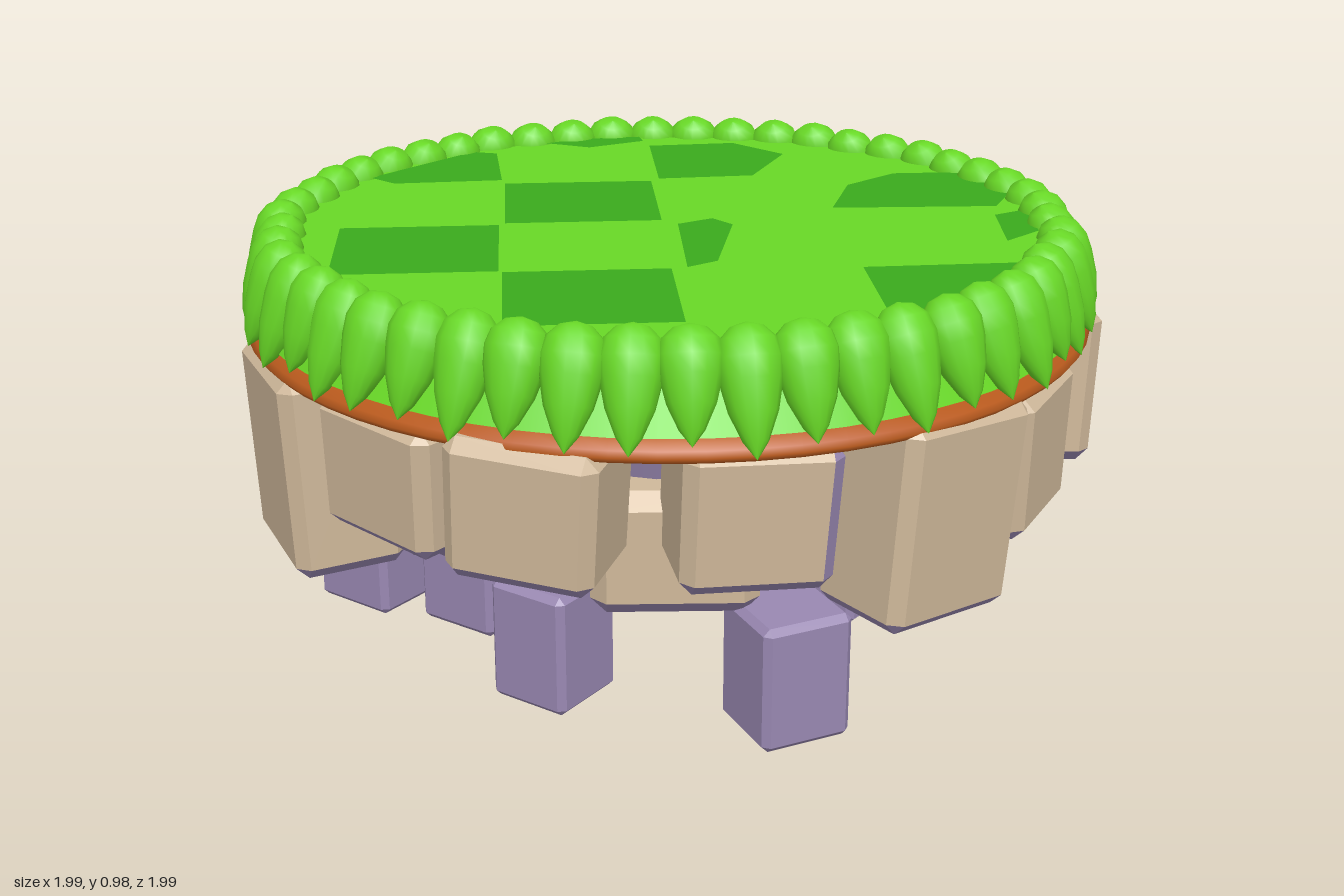
import * as THREE from 'three';
import { ConvexGeometry } from 'three/addons/geometries/ConvexGeometry.js';

const mat = (name, color) => {
  const m = new THREE.MeshStandardMaterial({ color });
  m.name = name;
  return m;
};

// Chamfered block; group 0 is the body, group 1 the underside (and optionally the +x side)
function block(w, h, d, c, taper = 1, paintSide = false) {
  const pts = [];
  for (const x of [-1, 1]) for (const y of [-1, 1]) for (const z of [-1, 1]) {
    for (let full = 0; full < 3; full++) {
      const k = y < 0 ? taper : 1;
      pts.push(new THREE.Vector3(
        x * (w / 2 - (full === 0 ? 0 : c)) * k,
        y * (h / 2 - (full === 1 ? 0 : c)),
        z * (d / 2 - (full === 2 ? 0 : c)) * k));
    }
  }
  const src = new ConvexGeometry(pts);
  const p = src.attributes.position.array, n = src.attributes.normal.array;
  const parts = [[], []];
  for (let i = 0; i < p.length; i += 9) {
    const under = n[i + 1] < -0.25 || (paintSide && n[i] > 0.5);
    parts[under ? 1 : 0].push(...p.slice(i, i + 9));
  }
  const geo = new THREE.BufferGeometry();
  geo.setAttribute('position', new THREE.Float32BufferAttribute([...parts[0], ...parts[1]], 3));
  geo.addGroup(0, parts[0].length / 3, 0);
  geo.addGroup(parts[0].length / 3, parts[1].length / 3, 1);
  geo.computeVertexNormals();
  return geo;
}

export function createModel() {
  const grass = mat('grass green', 0x68d826);
  const darkGrass = mat('dark grass green', 0x3aaa1c);
  const dirt = mat('orange dirt', 0xbd5c1e);
  const stone = mat('tan stone', 0xcfb89a);
  const slate = mat('purple slate', 0x9988b2);

  const model = new THREE.Group();
  model.name = 'floatingIsland';
  const add = (name, geo, material, parent = model) => {
    const m = new THREE.Mesh(geo, material);
    m.name = name;
    parent.add(m);
    return m;
  };
  const group = (name) => {
    const g = new THREE.Group();
    g.name = name;
    model.add(g);
    return g;
  };

  // Grass cap and dirt rim
  add('grassCap', new THREE.CylinderGeometry(0.87, 0.965, 0.16, 64), grass).position.y = 0.855;
  const rim = [[0, 0.715], [0.93, 0.717], [0.975, 0.727], [0.985, 0.74], [0.975, 0.752], [0.955, 0.785], [0, 0.785]];
  add('dirtRim', new THREE.LatheGeometry(rim.map(([x, y]) => new THREE.Vector2(x, y)), 64), dirt);

  // Dark checker patches, corners as [x, z]
  const diamond = (x, z, r = 0.26) => [[x - r, z], [x, z - r], [x + r, z], [x, z + r]];
  const patches = [
    diamond(-0.54, -0.28), diamond(0, -0.28), diamond(-0.54, 0.25),
    [[0.29, -0.28], [0.54, -0.53], [0.71, -0.38], [0.7, -0.2], [0.47, -0.12]],
    [[0.35, 0.22], [0.55, 0.12], [0.72, 0.14], [0.83, 0.25], [0.8, 0.45], [0.62, 0.51]],
    [[0, 0.56], [0.25, 0.8], [0.2, 0.84], [-0.2, 0.84], [-0.25, 0.81]],
    [[-0.18, -0.84], [0.18, -0.84], [0.21, -0.78], [0.02, -0.57], [-0.18, -0.75]],
    [[-0.25, 0.27], [0, 0.03], [0.09, 0.06], [0.08, 0.13], [-0.17, 0.29]],
    [[0.38, 0.69], [0.55, 0.55], [0.64, 0.58], [0.5, 0.7]],
    [[0.38, -0.76], [0.42, -0.64], [0.57, -0.58], [0.6, -0.62], [0.48, -0.72]],
  ];
  const patchGroup = group('grassPatches');
  for (const pts of patches) {
    const shape = new THREE.Shape(pts.map(([x, z]) => new THREE.Vector2(x, -z)));
    const geo = new THREE.ShapeGeometry(shape).rotateX(-Math.PI / 2);
    add('grassPatch', geo, darkGrass, patchGroup).position.y = 0.939;
  }

  // Ring of pointed grass blades, tips leaning outward
  const profile = [[0, -0.135], [0.026, -0.1], [0.05, -0.045], [0.064, 0.015], [0.068, 0.055],
    [0.058, 0.09], [0.034, 0.113], [0, 0.122]];
  const bladeGeo = new THREE.LatheGeometry(profile.map(([x, y]) => new THREE.Vector2(x, y)), 14);
  const blades = group('grassBlades');
  const count = 50;
  for (let i = 0; i < count; i++) {
    const a = (i / count) * Math.PI * 2 - 0.06;
    const len = 1 + 0.06 * Math.sin(i * 2.4);
    const r = 0.93 + 0.006 * Math.sin(i * 1.7);
    const b = add('grassBlade', bladeGeo, grass, blades);
    b.rotation.order = 'YXZ';
    b.rotation.set(-0.46, a, 0);
    b.scale.set(1, len, 0.88);
    b.position.set(Math.sin(a) * r, 0.985 - 0.113 * len, Math.cos(a) * r);
  }

  // Stone ring: angle from the front, width, bottom, top, roll, outer radius, painted side
  const stones = [
    [-0.18, 0.36, 0.28, 0.75, -0.06, 0.98], [0.2, 0.3, 0.38, 0.72, 0.05, 0.96, true],
    [0.5, 0.25, 0.39, 0.64, 0, 0.9], [0.73, 0.37, 0.39, 0.76, -0.05, 1.0],
    [1.14, 0.35, 0.41, 0.75, 0.03, 0.97], [1.54, 0.34, 0.39, 0.73, -0.13, 0.985],
    [2.03, 0.33, 0.39, 0.75, 0.04, 1.0], [2.48, 0.32, 0.41, 0.75, -0.03, 0.985],
    [2.77, 0.27, 0.42, 0.72, 0.05, 0.92], [3.06, 0.31, 0.42, 0.73, 0.04, 0.96],
    [3.45, 0.36, 0.43, 0.72, -0.13, 0.96], [3.87, 0.37, 0.37, 0.74, 0.03, 0.96],
    [4.27, 0.38, 0.27, 0.74, 0.02, 0.98], [4.69, 0.34, 0.43, 0.73, -0.03, 0.94],
    [-1.17, 0.33, 0.44, 0.75, -0.05, 1.0], [-0.66, 0.33, 0.42, 0.74, -0.04, 0.95, true],
  ];
  const ring = group('stoneRing');
  for (const [a, w, y0, y1, roll, r, paint] of stones) {
    const s = add('stone', block(w, y1 - y0, 0.26, 0.028, 0.97, paint), [stone, slate], ring);
    s.rotation.order = 'YXZ';
    s.rotation.set(0.03, a, roll);
    s.position.set(Math.sin(a) * (r - 0.13), (y0 + y1) / 2, Math.cos(a) * (r - 0.13));
  }

  // Lower inner stones
  const inner = group('innerStones');
  for (let i = 0; i < 11; i++) {
    const a = (i / 11) * Math.PI * 2 + 0.3;
    const s = add('innerStone', block(0.36, 0.28, 0.3, 0.035), [stone, slate], inner);
    s.rotation.y = a + 0.12 * Math.sin(i * 2.1);
    s.position.set(Math.sin(a) * 0.61, 0.445 + 0.02 * Math.sin(i * 3.3), Math.cos(a) * 0.61);
  }

  // Slate core
  add('core', new THREE.CylinderGeometry(0.72, 0.58, 0.44, 14), slate).position.y = 0.51;

  // Hanging slate blocks: x, z, bottom, width, yaw
  const hanging = [
    [0.54, -0.3, 0.01, 0.24, 0.1], [0.3, -0.47, 0.03, 0.22, 0.12], [0.71, 0.18, 0.06, 0.19, -0.35],
    [0.38, 0.51, 0.06, 0.245, 0.62], [0.05, 0.48, 0.1, 0.23, 0.05], [-0.13, -0.7, 0.06, 0.19, 0.05],
    [-0.5, -0.5, 0.01, 0.22, 0.08], [-0.52, -0.12, 0.08, 0.21, 0.1], [-0.6, 0.18, 0.015, 0.2, 0.1],
    [-0.38, 0.66, 0.01, 0.21, -0.42],
  ];
  const hang = group('hangingBlocks');
  for (const [x, z, y0, w, yaw] of hanging) {
    const h = 0.3 - y0;
    const b = add('hangingBlock', block(w, h, w, 0.015), [slate, slate], hang);
    b.position.set(x, y0 + h / 2, z);
    b.rotation.y = yaw;
  }

  // Rest the lowest block on the ground
  model.position.y = -0.01;
  return model;
}
